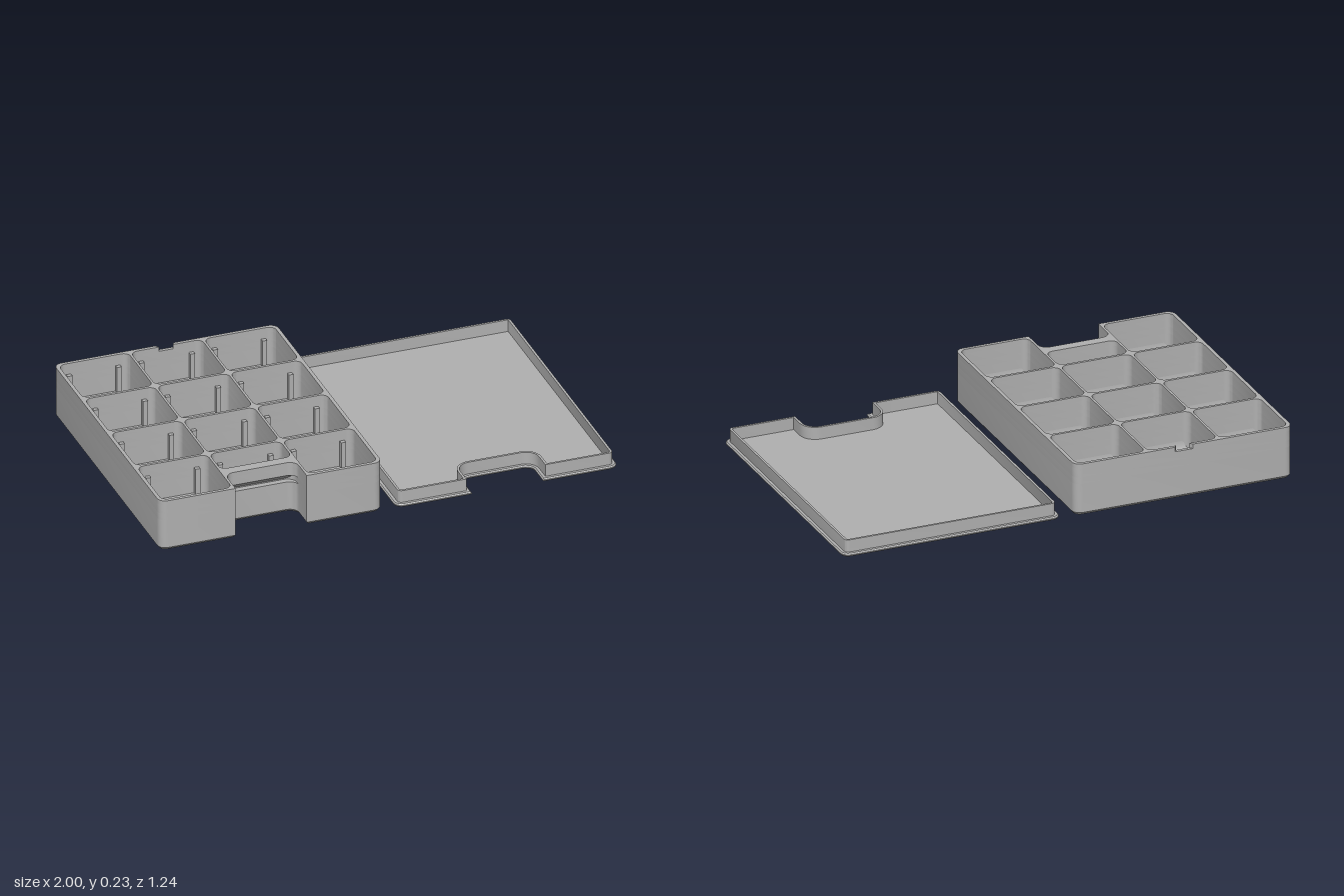
import * as THREE from 'three';
import { toCreasedNormals } from 'three/addons/utils/BufferGeometryUtils.js';

const HALF_W = 0.485, HALF_D = 0.62, OFFSET = 0.515;
const COLUMNS = [[-0.47, -0.165], [-0.155, 0.155], [0.165, 0.47]];
const ROWS = [[-0.605, -0.312], [-0.3, -0.007], [0.005, 0.298], [0.31, 0.605]];

// Points of an arc, angles in quarter turns
function arc(cx, cy, r, q0, q1, n = 6) {
  return Array.from({ length: n + 1 }, (_, i) => {
    const a = (q0 + (q1 - q0) * i / n) * Math.PI / 2;
    return new THREE.Vector2(cx + r * Math.cos(a), cy + r * Math.sin(a));
  });
}

// Rounded rectangle, starting at its rear left corner
function roundedRect(x0, x1, v0, v1, r) {
  return [
    ...arc(x0 + r, v1 - r, r, 1, 2), ...arc(x0 + r, v0 + r, r, 2, 3),
    ...arc(x1 - r, v0 + r, r, 3, 4), ...arc(x1 - r, v1 - r, r, 0, 1),
  ];
}

// Tray footprint with the front notch; plan coordinate v is -z
function outline(inset = 0, notchExtra = 0, rearGap = []) {
  const w = HALF_W - inset, d = HALF_D - inset, r = Math.max(0.035 - inset, 0.008);
  const n = 0.155 + inset, nv = -0.49 + inset + notchExtra, nr = 0.04 + inset;
  return [
    new THREE.Vector2(-n, -d),
    ...arc(-n + nr, nv - nr, nr, 2, 1), ...arc(n - nr, nv - nr, nr, 1, 0),
    new THREE.Vector2(n, -d),
    ...arc(w - r, -d + r, r, -1, 0), ...arc(w - r, d - r, r, 0, 1),
    ...rearGap,
    ...arc(-w + r, d - r, r, 1, 2), ...arc(-w + r, -d + r, r, 2, 3),
  ];
}

// Upright extrusion of a plan outline from y0 to y1, with optional chamfer
function slab(points, holes, y0, y1, chamfer = 0, thickness = 0) {
  const shape = new THREE.Shape(points);
  shape.holes = holes.map((h) => new THREE.Path(h));
  const geo = new THREE.ExtrudeGeometry(shape, {
    depth: y1 - y0 - 2 * thickness, bevelEnabled: chamfer > 0, bevelSegments: 1,
    bevelSize: chamfer, bevelOffset: -chamfer, bevelThickness: thickness,
  });
  geo.rotateX(-Math.PI / 2).translate(0, y0 + thickness, 0);
  return toCreasedNormals(geo, 0.6);
}

// Profile swept along x, centred; the profile is in (z, y)
function sweep(points, length) {
  const geo = new THREE.ExtrudeGeometry(new THREE.Shape(points), { depth: length, bevelEnabled: false });
  geo.translate(0, 0, -length / 2).rotateY(-Math.PI / 2);
  return toCreasedNormals(geo, 0.6);
}

export function createModel() {
  const plastic = new THREE.MeshStandardMaterial({ color: 0xb0b0b0 });
  plastic.name = 'grey plastic';
  const model = new THREE.Group();
  const box = new THREE.Group(), lid = new THREE.Group();
  box.name = 'compartmentBox';
  lid.name = 'lid';
  box.position.x = -OFFSET;
  lid.position.x = OFFSET;
  model.add(box, lid);

  const add = (parent, name, geo, x = 0, y = 0, z = 0, turn = 0) => {
    const mesh = new THREE.Mesh(geo, plastic);
    mesh.name = name;
    mesh.position.set(x, y, z);
    mesh.rotation.y = turn;
    parent.add(mesh);
  };

  // Compartments; the one behind the notch is shorter
  const cells = [];
  ROWS.forEach(([z0, z1], row) => COLUMNS.forEach(([x0, x1], col) => {
    cells.push({ x0, x1, z0, z1: row === 3 && col === 1 ? 0.447 : z1 });
  }));
  const holes = cells.map((c) => roundedRect(c.x0, c.x1, -c.z1, -c.z0, 0.03));

  // Floor and walls, layered around the latch slot and the rear finger gap
  const floorY = 0.025;
  add(box, 'floor', slab(outline(), [], 0, floorY, 0.01, 0.012));
  add(box, 'lowerWalls', slab(outline(), holes, 0.012, 0.14));
  add(box, 'slotWalls', slab(outline(0, 0.025), holes, 0.14, 0.17));
  add(box, 'upperWalls', slab(outline(), holes, 0.17, 0.21));
  const gap = [
    new THREE.Vector2(0.04, 0.62), new THREE.Vector2(0.03, 0.605),
    ...[...holes[1]].reverse(),
    new THREE.Vector2(-0.03, 0.605), new THREE.Vector2(-0.04, 0.62),
  ];
  add(box, 'rimWalls', slab(outline(0, 0, gap), holes.filter((_, i) => i !== 1), 0.21, 0.23));

  // Sloping underside inside the latch slot
  add(box, 'latchSlope', sweep([
    new THREE.Vector2(0.46, 0.14), new THREE.Vector2(0.49, 0.17), new THREE.Vector2(0.46, 0.17),
  ], 0.28));

  // Concave fillets, scoops and label rails in every compartment
  const fillet = (r, length) => sweep([
    new THREE.Vector2(0.002, 0), new THREE.Vector2(0.002, r), ...arc(-r, r, r, 0, -1),
  ], length);
  for (const { x0, x1, z0, z1 } of cells) {
    const cx = (x0 + x1) / 2, cz = (z0 + z1) / 2, w = x1 - x0, d = z1 - z0;
    add(box, 'frontScoop', fillet(z1 === 0.447 ? 0.05 : 0.075, w), cx, floorY, z1);
    add(box, 'rearFillet', fillet(0.02, w), cx, floorY, z0, Math.PI);
    add(box, 'sideFillet', fillet(0.02, d), x1, floorY, cz, Math.PI / 2);
    add(box, 'sideFillet', fillet(0.02, d), x0, floorY, cz, -Math.PI / 2);
    for (const side of [-1, 1]) {
      add(box, 'labelRail', new THREE.BoxGeometry(0.02, 0.13, 0.018), cx + side * (w / 2 - 0.045), 0.115, z0 + 0.009);
    }
    add(box, 'labelLedge', new THREE.BoxGeometry(w - 0.09, 0.012, 0.016), cx, 0.056, z0 + 0.008);
  }

  // Lid plate with its raised rim
  add(lid, 'lidPlate', slab(outline(), [], 0, 0.014, 0.005, 0.005));
  add(lid, 'lidRim', slab(outline(0.017), [outline(0.027)], 0.01, 0.068));
  return model;
}
